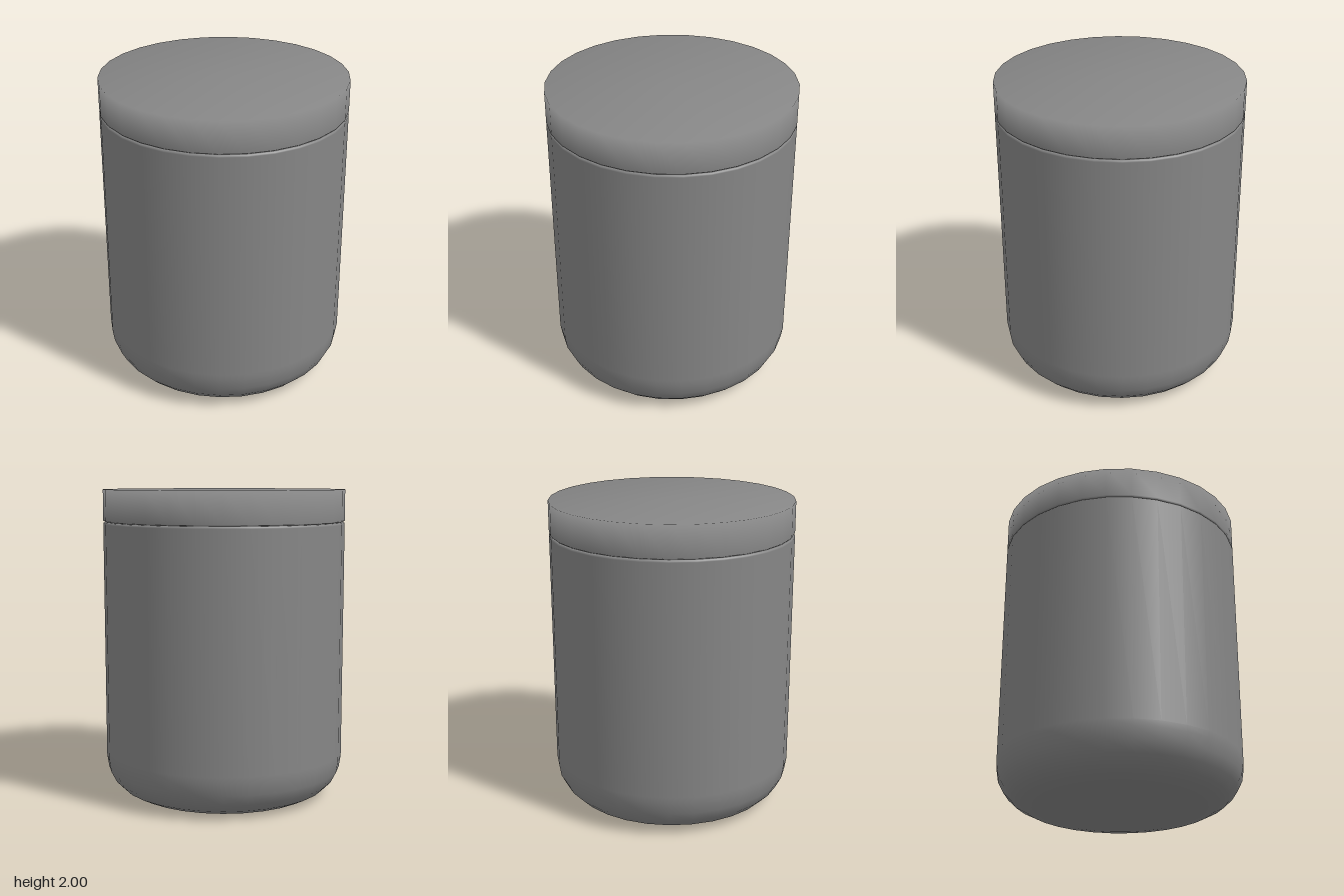
import * as THREE from 'three';

const SIDES = 30;
const RADIUS = 0.782;

// Revolve a bottom-to-top profile of [radius, height] points
function turned(name, profile) {
  const points = profile.map(([r, y]) => new THREE.Vector2(r, y));
  const geometry = new THREE.LatheGeometry(points, SIDES, Math.PI / 2);
  const mesh = new THREE.Mesh(geometry, new THREE.MeshStandardMaterial({ color: 0x868686 }));
  mesh.name = name;
  return mesh;
}

export function createModel() {
  const group = new THREE.Group();
  group.name = 'lidded jar';

  // Jar body: flat base, rounded lower edge, straight wall, softened rim
  const round = 0.25;
  const steps = 5;
  const body = [[0, 0], [RADIUS - round - 0.02, 0]];
  for (let i = 0; i <= steps; i++) {
    const a = (i / steps) * Math.PI / 2;
    body.push([RADIUS - round + round * Math.sin(a), round - round * Math.cos(a)]);
  }
  body.push([RADIUS, 0.29], [RADIUS, 1.778], [RADIUS - 0.003, 1.787], [RADIUS - 0.01, 1.792], [0, 1.792]);
  group.add(turned('jarBody', body));

  // Lid: flat disc whose smooth normals roll from the top over the upper edge
  group.add(turned('lid', [
    [0, 1.793], [RADIUS - 0.01, 1.793], [RADIUS, 1.802], [RADIUS, 2], [0, 2],
  ]));

  return group;
}
